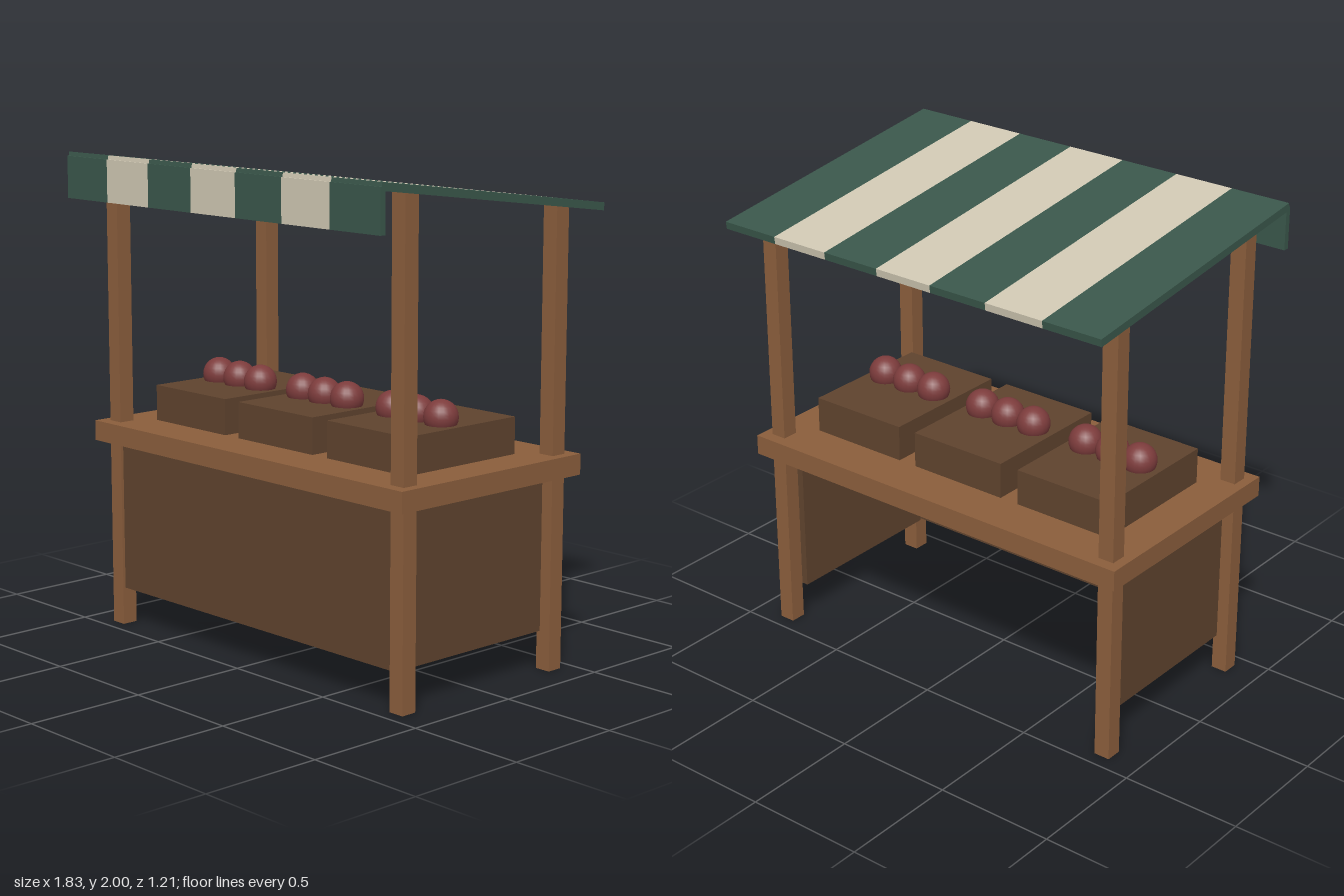
import * as THREE from 'three';

const paint = (color) => new THREE.MeshStandardMaterial({ color });

export function createModel() {
  const stall = new THREE.Group();
  stall.name = 'marketStall';
  const wood = paint(0x8b5e3c), darkWood = paint(0x5f432e);
  const green = paint(0x3a574b), cream = paint(0xd0c8b3), red = paint(0x7d3c3c);

  const add = (name, geometry, material, x, y, z, parent = stall) => {
    const mesh = new THREE.Mesh(geometry, material);
    mesh.name = name;
    mesh.position.set(x, y, z);
    parent.add(mesh);
    return mesh;
  };
  const box = (name, w, h, d, material, x, y, z, parent) =>
    add(name, new THREE.BoxGeometry(w, h, d), material, x, y, z, parent);

  // Corner posts (front pair taller) and side panels
  for (const side of [-1, 1]) {
    box('frontPost', 0.068, 1.95, 0.068, wood, side * 0.838, 0.975, 0.407);
    box('backPost', 0.068, 1.85, 0.068, wood, side * 0.838, 0.925, -0.407);
    box('sidePanel', 0.045, 0.63, 0.744, darkWood, side * 0.799, 0.472, 0);
  }

  // Counter with front panel, open at the back
  box('frontPanel', 1.61, 0.63, 0.045, darkWood, 0, 0.472, 0.407);
  box('counter', 1.826, 0.084, 0.98, wood, 0, 0.829, 0);

  // Crates, each topped with a row of fruit
  const fruit = new THREE.SphereGeometry(0.069, 20, 14);
  for (let i = -1; i <= 1; i++) {
    const crate = new THREE.Group();
    crate.name = 'crateOfFruit';
    crate.position.x = i * 0.523;
    stall.add(crate);
    box('crate', 0.44, 0.149, 0.59, darkWood, 0, 0.9455, 0, crate);
    for (let j = -1; j <= 1; j++) add('fruit', fruit, red, j * 0.131, 1.049, 0.026, crate);
  }

  // Sloping striped canopy with a hanging front valance
  const stripes = 7, width = 1.826 / stripes;
  for (let i = 0; i < stripes; i++) {
    const x = (i - (stripes - 1) / 2) * width;
    const cloth = i % 2 ? cream : green;
    box('canopyStripe', width, 0.031, 1.207, cloth, x, 1.907, 0).rotation.x = -0.128;
    box('valanceStripe', width, 0.172, 0.025, cloth, x, 1.897, 0.593);
  }
  return stall;
}
